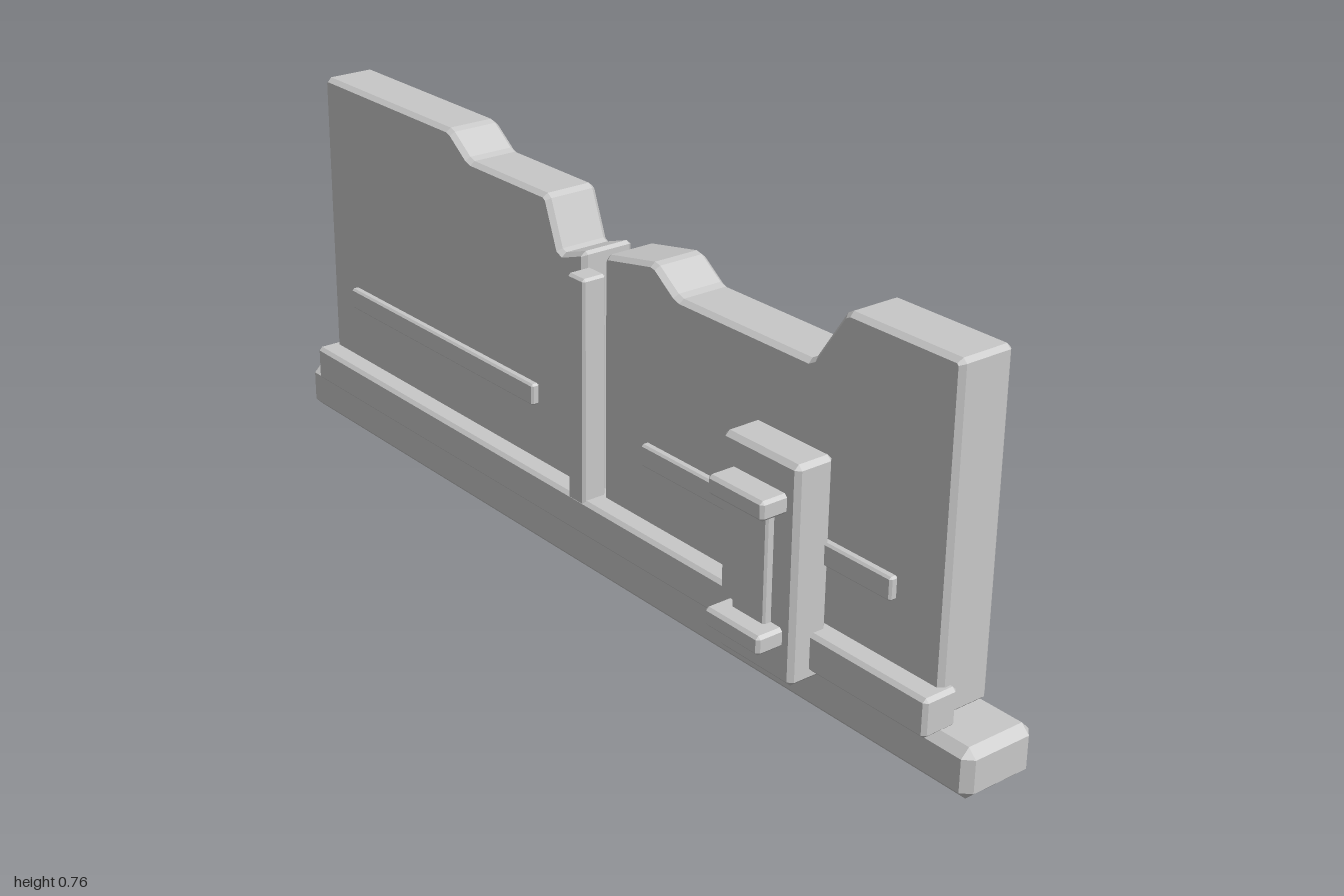
import * as THREE from 'three';
import { ConvexGeometry } from 'three/addons/geometries/ConvexGeometry.js';

export function createModel() {
  const model = new THREE.Group();
  const stone = new THREE.MeshStandardMaterial({ color: 0xc8c8c8 });
  stone.name = 'light grey stone';

  function add(name, geometry, parent = model) {
    const mesh = new THREE.Mesh(geometry, stone);
    mesh.name = name;
    parent.add(mesh);
    return mesh;
  }

  // Box between two corners with every edge chamfered by c
  function chamferBox(name, [x0, x1], [y0, y1], [z0, z1], c, parent) {
    const half = [(x1 - x0) / 2, (y1 - y0) / 2, (z1 - z0) / 2];
    const points = [];
    for (const sx of [-1, 1]) for (const sy of [-1, 1]) for (const sz of [-1, 1]) {
      for (let face = 0; face < 3; face++) {
        const p = half.map((h, axis) => (axis === face ? h : h - c));
        points.push(new THREE.Vector3(p[0] * sx, p[1] * sy, p[2] * sz));
      }
    }
    const mesh = add(name, new ConvexGeometry(points), parent);
    mesh.position.set((x0 + x1) / 2, (y0 + y1) / 2, (z0 + z1) / 2);
  }

  // Wall slab with a broken top edge, chamfered corners and bevelled faces
  function wall(name, outline) {
    const corners = outline.map(([x, y]) => new THREE.Vector2(x, y));
    const count = corners.length;
    const points = corners.flatMap((p, i) => [
      corners[(i + count - 1) % count], corners[(i + 1) % count],
    ].map((q) => p.clone().add(q.clone().sub(p).setLength(0.008))));
    const geometry = new THREE.ExtrudeGeometry(new THREE.Shape(points), {
      depth: 0.095, bevelEnabled: true, bevelSegments: 1,
      bevelSize: 0.008, bevelThickness: 0.01, bevelOffset: -0.008,
    });
    geometry.translate(0, 0, -0.106);
    add(name, geometry);
  }

  // Foundation and front ledge
  chamferBox('base', [-1, 1], [0, 0.097], [-0.138, 0.018], 0.017);
  chamferBox('ledge', [-0.923, 0.923], [0.094, 0.168], [-0.031, 0.043], 0.007);

  // Two broken wall halves
  wall('rightWall', [
    [-0.913, 0.109], [-0.031, 0.109], [-0.031, 0.639], [-0.105, 0.614],
    [-0.145, 0.717], [-0.396, 0.717], [-0.46, 0.764], [-0.913, 0.764],
  ]);
  wall('leftWall', [
    [0.028, 0.109], [0.911, 0.109], [0.911, 0.742], [0.655, 0.742], [0.58, 0.631],
    [0.235, 0.631], [0.17, 0.677], [0.028, 0.65],
  ]);

  // Post covering the joint between the walls
  chamferBox('centrePost', [-0.025, 0.025], [0.097, 0.611], [-0.01, 0.0425], 0.005);

  // Horizontal trim strips
  chamferBox('rightStrip', [-0.812, -0.168], [0.288, 0.332], [0.001, 0.019], 0.004);
  chamferBox('leftStrip', [0.163, 0.807], [0.288, 0.332], [0.001, 0.019], 0.004);

  // Bracket plate with its recessed bar and two end caps
  const bracket = new THREE.Group();
  bracket.name = 'bracket';
  model.add(bracket);
  chamferBox('bracketPlate', [0.462, 0.651], [0.076, 0.489], [0.004, 0.085], 0.009, bracket);
  chamferBox('bracketBar', [0.514, 0.598], [0.155, 0.425], [0.07, 0.101], 0.004, bracket);
  for (const [name, y] of [['lowerCap', 0.145], ['upperCap', 0.395]]) {
    chamferBox(name, [0.488, 0.627], [y, y + 0.037], [0.07, 0.139], 0.006, bracket);
  }

  return model;
}
